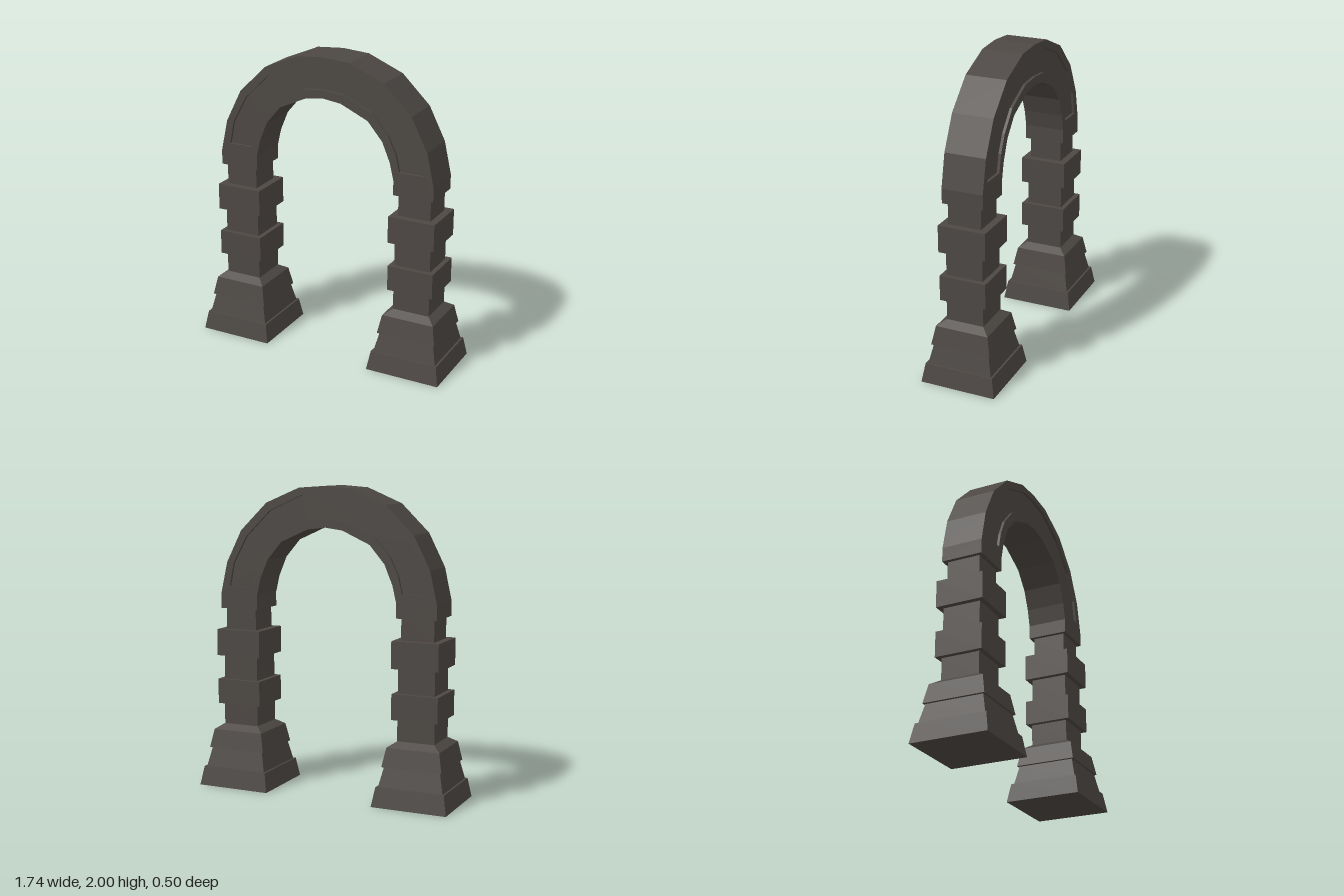
import * as THREE from 'three';

const material = new THREE.MeshStandardMaterial({ color: 0x4d4844, flatShading: true });

// Mirror half an outline (springing line up to the crown) across x = 0
const mirrored = (half) => [
  ...half,
  ...half.slice(0, -1).reverse().map(([x, y]) => [-x, y]),
];

// Closed band between an outer and an inner half curve
function band(outer, inner) {
  const points = [...mirrored(outer), ...mirrored(inner).reverse()];
  return points.map(([x, y]) => new THREE.Vector2(x, y));
}

function extrudeCentred(shape, depth) {
  const geometry = new THREE.ExtrudeGeometry(shape, { depth, bevelEnabled: false });
  return geometry.translate(0, 0, -depth / 2);
}

function addMesh(parent, name, geometry) {
  const mesh = new THREE.Mesh(geometry, material);
  mesh.name = name;
  parent.add(mesh);
  return mesh;
}

// Square section swept up a profile of [half width, height]
function squareLathe(profile) {
  const points = profile.map(([w, y]) => new THREE.Vector2(w * Math.SQRT2, y));
  const geometry = new THREE.LatheGeometry(points, 4, Math.PI / 4).toNonIndexed();
  geometry.computeVertexNormals();
  return geometry;
}

export function createModel() {
  const model = new THREE.Group();
  model.name = 'stoneArch';

  // Stepped plinth, flared in tiers
  const plinth = squareLathe([
    [0, 0], [0.25, 0], [0.228, 0.125], [0.215, 0.125], [0.187, 0.25],
    [0.2, 0.252], [0.176, 0.375], [0.124, 0.41], [0, 0.41],
  ]);
  // Shaft with two projecting blocks
  const shaft = squareLathe([
    [0, 0.41], [0.124, 0.41], [0.124, 0.55], [0.154, 0.55], [0.154, 0.715],
    [0.122, 0.715], [0.122, 0.875], [0.156, 0.875], [0.156, 1.05],
    [0.109, 1.05], [0.109, 1.19], [0, 1.19],
  ]);

  for (const [side, name] of [[1, 'leftPillar'], [-1, 'rightPillar']]) {
    const pillar = new THREE.Group();
    pillar.name = name;
    pillar.position.x = side * 0.622;
    addMesh(pillar, 'plinth', plinth);
    addMesh(pillar, 'shaft', shaft);
    model.add(pillar);
  }

  // Arch ring with an opening for the sunken panel
  const ring = band(
    [[0.756, 1.19], [0.756, 1.284], [0.708, 1.496], [0.6, 1.708], [0.414, 1.889], [0.18, 1.987], [0, 2]],
    [[0.488, 1.19], [0.488, 1.284], [0.462, 1.395], [0.408, 1.523], [0.308, 1.64], [0.122, 1.724], [0, 1.74]],
  );
  const panel = band(
    [[0.69, 1.342], [0.658, 1.496], [0.562, 1.671], [0.387, 1.841], [0.16, 1.942], [0, 1.957]],
    [[0.525, 1.342], [0.499, 1.453], [0.446, 1.565], [0.334, 1.692], [0.138, 1.782], [0, 1.793]],
  );
  const ringShape = new THREE.Shape(ring);
  ringShape.holes.push(new THREE.Path(panel));

  const arch = new THREE.Group();
  arch.name = 'arch';
  addMesh(arch, 'archRing', extrudeCentred(ringShape, 0.27));
  // Panel floor, sunk on both the front and the back
  addMesh(arch, 'sunkenPanel', extrudeCentred(new THREE.Shape(panel), 0.234));
  model.add(arch);

  return model;
}
